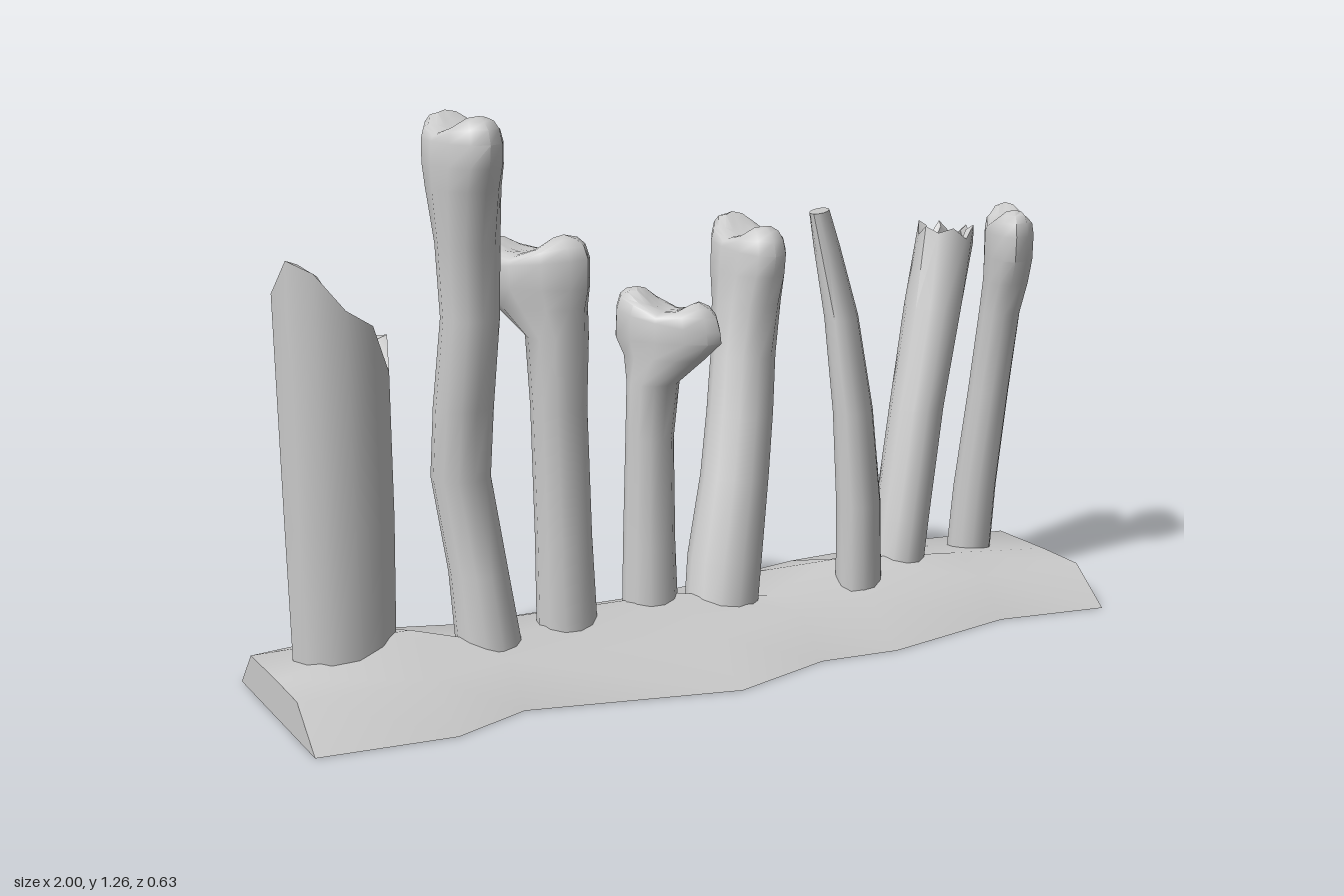
import * as THREE from 'three';
import { toCreasedNormals } from 'three/addons/utils/BufferGeometryUtils.js';

const material = new THREE.MeshStandardMaterial({ color: 0xcccccc });
const SIDES = 12;

// Skin a list of closed rings (arrays of Vector3), dropping collapsed triangles
function skin(rings, crease = 0.9) {
  const pos = [];
  const tri = (a, b, c) => {
    const n = b.clone().sub(a).cross(c.clone().sub(a));
    if (n.length() > 1e-9) for (const p of [a, b, c]) pos.push(p.x, p.y, p.z);
  };
  for (let i = 0; i < rings.length - 1; i++) {
    const r = rings[i], s = rings[i + 1], n = r.length;
    for (let j = 0; j < n; j++) {
      const k = (j + 1) % n;
      tri(r[j], s[j], r[k]);
      tri(r[k], s[j], s[k]);
    }
  }
  const geo = new THREE.BufferGeometry();
  geo.setAttribute('position', new THREE.Float32BufferAttribute(pos, 3));
  return toCreasedNormals(geo, crease);
}

// Elliptical ring [x, y, z, a, b] turned by rot about y; lift(u, j) raises points
function ring([x, y, z, a, b = a], rot = 0, scale = 1, lift = () => 0) {
  return Array.from({ length: SIDES }, (_, j) => {
    const t = (j / SIDES) * Math.PI * 2;
    const u = Math.cos(t) * scale, v = Math.sin(t) * scale;
    return new THREE.Vector3(
      x + u * a * Math.cos(rot) - v * b * Math.sin(rot),
      y + lift(u, j),
      z + u * a * Math.sin(rot) + v * b * Math.cos(rot)
    );
  });
}

// Shaft closed by a two-lobed knuckle of height lobe
function knuckleBone({ path, rot, lobe, tilt = 0 }) {
  const end = path[path.length - 1];
  const rings = path.slice(0, -1).map((p) => ring(p, rot));
  for (const s of [1, 0.93, 0.8, 0.6, 0.4, 0.2, 0]) {
    rings.push(ring(end, rot, s, (u) =>
      tilt * u + lobe * Math.sqrt(1 - s ** 4) * (0.35 + 0.65 * Math.min(1, (u / 0.55) ** 2))));
  }
  return skin(rings);
}

// Hollow shaft with a jagged rim; jag holds the rim height of each side
function brokenBone({ path, rot, jag, wall = 0.72, depth = 0.22 }) {
  const end = path[path.length - 1];
  const [x, y, z, a, b] = end;
  const rings = path.slice(0, -1).map((p) => ring(p, rot));
  const inner = [x, y - depth, z, a * wall, b * wall];
  rings.push(ring(end, rot, 1, (u, j) => jag[j] - y));
  rings.push(ring(end, rot, wall, (u, j) => jag[j] - y - 0.012));
  rings.push(ring(inner, rot), ring(inner, rot, 0));
  return skin(rings, 0.7);
}

// Curved flat rib with a plain end
function ribBone({ path, rot }) {
  const rings = path.map((p) => ring(p, rot));
  rings.push(ring(path[path.length - 1], rot, 0));
  return skin(rings);
}

// Earth mound: x, front edge, back edge, ridge height
function mound() {
  const sections = [
    [-1, 0.24, -0.26, 0.087], [-0.7, 0.27, -0.32, 0.15], [-0.52, 0.2, -0.23, 0.095],
    [-0.05, 0.315, -0.21, 0.132], [0.2, 0.24, -0.26, 0.088], [0.39, 0.26, -0.31, 0.15],
    [0.73, 0.195, -0.32, 0.115], [1, 0.24, -0.26, 0.087],
  ];
  const rings = sections.map(([x, f, b, h]) => [
    [0, f], [0.085, f * 0.56], [h, 0], [0.085, b * 0.7], [0, b],
  ].map(([y, z]) => new THREE.Vector3(x, y, z)));
  const close = (x) => Array.from({ length: 5 }, () => new THREE.Vector3(x, 0.04, 0));
  return skin([close(-1), ...rings, close(1)]);
}

export function createModel() {
  const group = new THREE.Group();
  const add = (name, geo) => {
    const mesh = new THREE.Mesh(geo, material);
    mesh.name = name;
    group.add(mesh);
  };

  add('earthMound', mound());

  add('brokenStump', brokenBone({
    rot: 0,
    path: [[-0.825, 0.04, -0.07, 0.115, 0.1], [-0.825, 0.4, -0.07, 0.122, 0.1], [-0.83, 0.8, -0.07, 0.125, 0.103]],
    jag: [0.79, 0.72, 0.83, 0.87, 0.95, 0.975, 0.9, 0.84, 0.85, 0.79, 0.83, 0.78],
  }));

  add('tallBone', knuckleBone({
    rot: 1.5, lobe: 0.06,
    path: [
      [-0.51, 0.04, 0, 0.075], [-0.525, 0.25, -0.03, 0.066], [-0.547, 0.46, -0.065, 0.066],
      [-0.545, 0.62, -0.045, 0.066], [-0.535, 0.82, -0.02, 0.064], [-0.535, 0.98, -0.025, 0.07],
      [-0.54, 1.1, -0.03, 0.108, 0.073], [-0.54, 1.15, -0.03, 0.127, 0.075], [-0.54, 1.2, -0.03, 0.133, 0.073],
    ],
  }));

  add('sideKnobBone', knuckleBone({
    rot: 1.0, lobe: 0.06, tilt: 0.015,
    path: [
      [-0.315, 0.04, -0.02, 0.07], [-0.32, 0.3, -0.025, 0.064], [-0.325, 0.6, -0.03, 0.063],
      [-0.327, 0.76, -0.03, 0.07], [-0.35, 0.825, -0.065, 0.115, 0.075],
      [-0.365, 0.87, -0.085, 0.15, 0.08], [-0.367, 0.92, -0.085, 0.153, 0.08],
    ],
  }));

  add('shortBone', knuckleBone({
    rot: 0.95, lobe: 0.06, tilt: -0.02,
    path: [
      [-0.1, 0.04, -0.03, 0.066], [-0.1, 0.25, -0.035, 0.06], [-0.095, 0.5, -0.04, 0.055],
      [-0.088, 0.63, -0.035, 0.06], [-0.07, 0.69, -0.015, 0.1, 0.06],
      [-0.063, 0.73, -0.01, 0.133, 0.065], [-0.063, 0.775, -0.01, 0.13, 0.065],
    ],
  }));

  add('leaningBone', knuckleBone({
    rot: 1.57, lobe: 0.065, tilt: -0.012,
    path: [
      [0.06, 0.04, 0.01, 0.085], [0.09, 0.2, -0.02, 0.087], [0.135, 0.38, -0.055, 0.08],
      [0.165, 0.52, -0.085, 0.078], [0.19, 0.65, -0.115, 0.076], [0.215, 0.77, -0.145, 0.095, 0.076],
      [0.225, 0.84, -0.158, 0.122, 0.076], [0.228, 0.9, -0.16, 0.13, 0.073],
    ],
  }));

  add('curvedRib', ribBone({
    rot: -0.785,
    path: [
      [0.42, 0.04, 0.045, 0.075, 0.055], [0.418, 0.3, 0.04, 0.074, 0.052], [0.408, 0.52, 0.025, 0.07, 0.046],
      [0.388, 0.74, 0, 0.064, 0.038], [0.365, 0.9, -0.03, 0.058, 0.028], [0.352, 0.985, -0.045, 0.055, 0.02],
    ],
  }));

  add('brokenLeaningBone', brokenBone({
    rot: -0.35, depth: 0.15,
    path: [
      [0.56, 0.04, -0.025, 0.07], [0.595, 0.22, -0.04, 0.067], [0.655, 0.48, -0.075, 0.066],
      [0.72, 0.72, -0.11, 0.07], [0.775, 0.9, -0.14, 0.085, 0.06],
    ],
    jag: [0.9, 0.86, 0.91, 0.88, 0.91, 0.9, 0.915, 0.89, 0.92, 0.86, 0.91, 0.87],
  }));

  add('endBone', knuckleBone({
    rot: -1.1, lobe: 0.065,
    path: [
      [0.843, 0.04, -0.11, 0.06, 0.055], [0.85, 0.25, -0.095, 0.056, 0.053], [0.865, 0.5, -0.07, 0.056, 0.05],
      [0.877, 0.7, -0.05, 0.064, 0.05], [0.885, 0.78, -0.04, 0.085, 0.055],
      [0.888, 0.84, -0.037, 0.11, 0.058], [0.888, 0.9, -0.036, 0.115, 0.058],
    ],
  }));

  return group;
}
